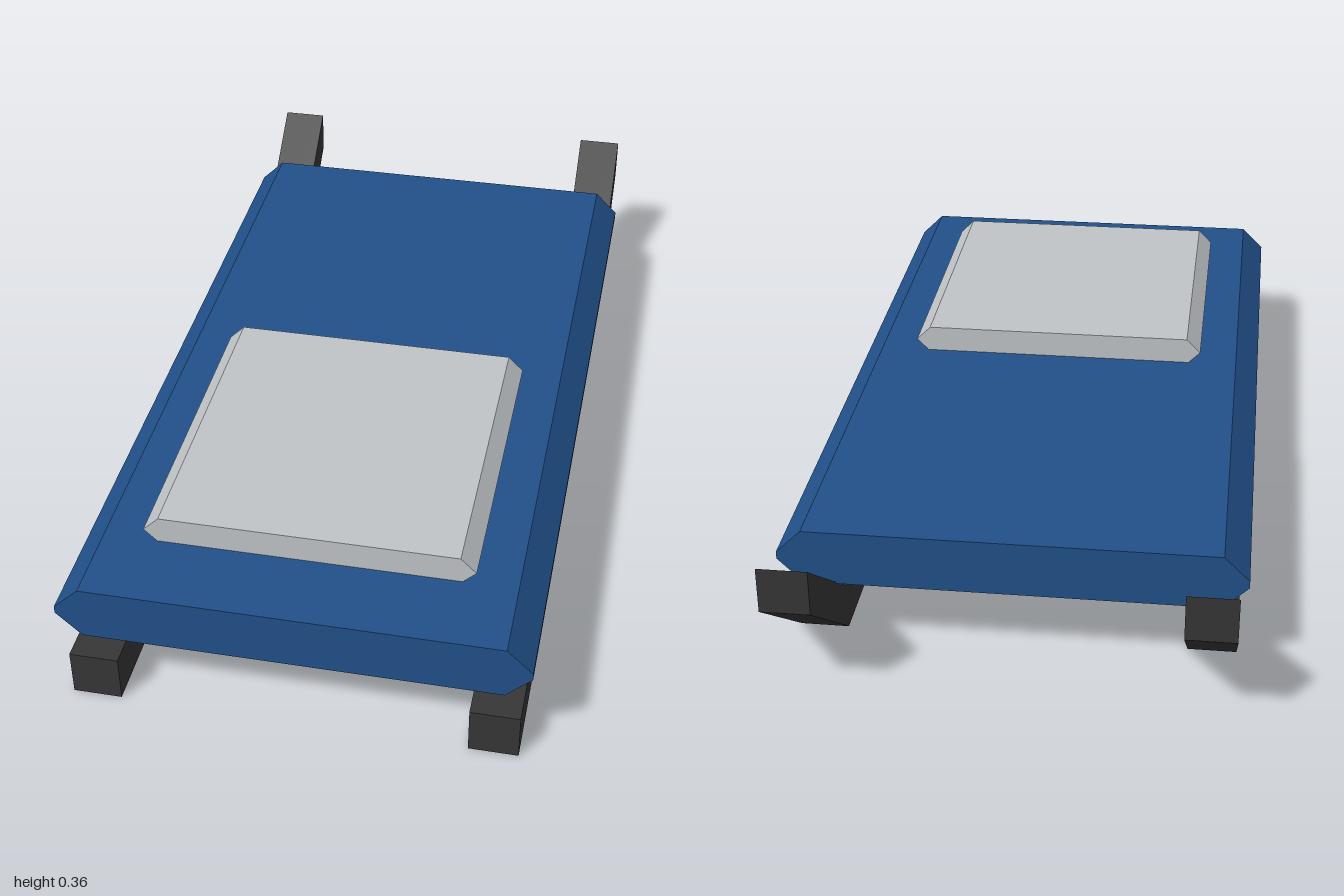
import * as THREE from 'three';

const paint = (name, color) => {
  const m = new THREE.MeshStandardMaterial({ color });
  m.name = name;
  return m;
};

// Extrude a closed outline by depth, centred on z = 0
function prism(points, depth) {
  const shape = new THREE.Shape(points.map(([x, y]) => new THREE.Vector2(x, y)));
  const geometry = new THREE.ExtrudeGeometry(shape, { depth, bevelEnabled: false });
  return geometry.translate(0, 0, -depth / 2);
}

// Complete a right-half outline (listed bottom to top) by mirroring it in x
const mirrored = (half) => [...half, ...half.map(([x, y]) => [-x, y]).reverse()];

export function createModel() {
  const group = new THREE.Group();
  const blue = paint('deck blue', 0x215089);
  const grey = paint('pad grey', 0xc0c4c7);
  const black = paint('runner black', 0x363636);

  const add = (name, geometry, material, x, z) => {
    const mesh = new THREE.Mesh(geometry, material);
    mesh.name = name;
    mesh.position.set(x, 0, z);
    group.add(mesh);
  };

  // Deck with chamfered long sides
  const deck = mirrored([[0.445, 0.172], [0.5, 0.226], [0.5, 0.243], [0.445, 0.297]]);
  add('deck', prism(deck, 1.785), blue, 0, 0.1075);

  // Seat pad with pointed long sides
  const pad = mirrored([[0.328, 0.297], [0.356, 0.325], [0.322, 0.359]]);
  add('seatPad', prism(pad, 0.714), grey, 0, 0.463);

  // Two runners, upturned at the far end (outline runs in z and y)
  const runner = prism(
    [[-1, 0.237], [-0.695, 0], [1, 0], [1, 0.108], [-0.695, 0.108], [-1, 0.34]], 0.106
  ).rotateY(-Math.PI / 2);
  add('leftRunner', runner, black, 0.428, 0);
  add('rightRunner', runner, black, -0.428, 0);

  return group;
}
